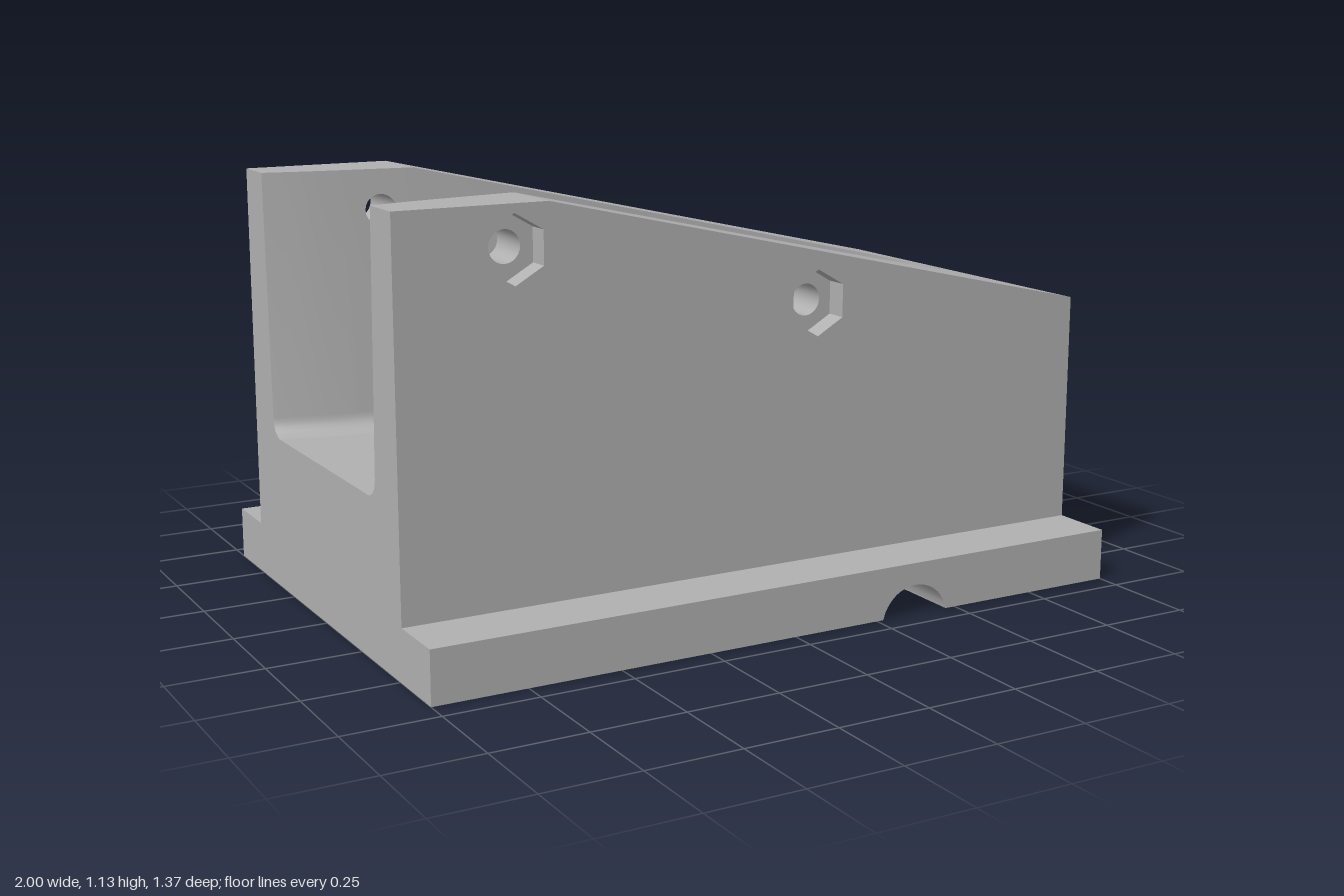
import * as THREE from 'three';
import { toCreasedNormals } from 'three/addons/utils/BufferGeometryUtils.js';

const BODY_Z = 0.515, BASE_Z = 0.685, BASE_Y = 0.14;
const FILLET = 0.05, TAPER = 0.02, POCKET_Z = 0.455;
const HOLES = [{ x: -0.69, y: 1.02, from: -0.76, to: -0.62 }, { x: 0.165, y: 0.82, from: 0.11, to: 0.22 }];

const topY = x => (x < -0.6 ? 1.13 : 1.13 - (x + 0.6) * 0.228);
const floorY = x => (x < 0.22 ? 0.42 : x < 0.55 ? 0.42 - (x - 0.22) * 0.1 : 0.387 - (x - 0.55) * 0.2);

// Half plan outline of the cavity, from the open end to the rounded tip
const HALF = [[-1, 0.39], [-0.88, 0.363], [-0.76, 0.344], [-0.62, 0.324], [-0.6, 0.322], [-0.4, 0.301], [-0.2, 0.286],
  [0, 0.272], [0.11, 0.265], [0.22, 0.254], [0.4, 0.235], [0.55, 0.21], [0.68, 0.179], [0.79, 0.137], [0.87, 0.085], [0.906, 0.04], [0.918, 0]];

function cavityOutline() {
  const mirrored = HALF.slice(0, -1).reverse().map(([x, z]) => [x, -z]);
  const pts = [...HALF, ...mirrored].map(([x, z]) => new THREE.Vector3(x, 0, z));
  const segs = HALF.length - 1;
  return new THREE.CatmullRomCurve3(pts).getPoints(segs * 8).slice(0, segs * 4 + 1)
    .filter(p => !HOLES.some(h => p.x > h.from + 1e-4 && p.x < h.to - 1e-4));
}

// Triangle collectors
function tri(out, a, b, c, flip) {
  for (const p of flip ? [a, c, b] : [a, b, c]) out.push(p[0], p[1], p[2]);
}
function quad(out, a, b, c, d, flip) {
  tri(out, a, b, c, flip);
  tri(out, a, c, d, flip);
}
function pushShape(out, shape, map, flip) {
  const p = new THREE.ShapeGeometry(shape, 1).toNonIndexed().attributes.position;
  const at = i => map(p.getX(i), p.getY(i));
  for (let i = 0; i < p.count; i += 3) tri(out, at(i), at(i + 1), at(i + 2), flip);
}
function toGeometry(out, crease) {
  const g = new THREE.BufferGeometry();
  g.setAttribute('position', new THREE.Float32BufferAttribute(out, 3));
  g.computeVertexNormals();
  return crease ? toCreasedNormals(g, crease) : g;
}

// Circle or hexagon around a bolt axis
const ring = (h, r, n) => Array.from({ length: n }, (_, k) => {
  const a = Math.PI / 2 + (k / n) * Math.PI * 2;
  return new THREE.Vector2(h.x + r * Math.cos(a), h.y + r * Math.sin(a));
});
const bore = h => ring(h, 0.042, 24);
const hexagon = h => ring(h, 0.087, 6);

// Inward facing sleeve running along z from the outside to an inner depth
function sleeve(out, pts, outerZ, innerZ, side) {
  pts.forEach((p, k) => {
    const q = pts[(k + 1) % pts.length];
    quad(out, [p.x, p.y, side * outerZ], [q.x, q.y, side * outerZ],
      [q.x, q.y, side * innerZ(q.x, q.y)], [p.x, p.y, side * innerZ(p.x, p.y)], side < 0);
  });
}

export function createModel() {
  const group = new THREE.Group();
  const grey = new THREE.MeshStandardMaterial({ color: 0xb0b0b0, side: THREE.DoubleSide });
  grey.name = 'plain grey';
  const add = (name, geometry) => {
    const mesh = new THREE.Mesh(geometry, grey);
    mesh.name = name;
    group.add(mesh);
    return mesh;
  };

  // Base plate with a round groove underneath
  const base = new THREE.Shape();
  base.moveTo(-1, 0);
  base.lineTo(0.27, 0);
  const half = Math.asin(0.2 / 0.205);
  base.absarc(0.37, -0.022, 0.1025, Math.PI / 2 + half, Math.PI / 2 - half, true);
  base.lineTo(1, 0);
  base.lineTo(1, BASE_Y);
  base.lineTo(-1, BASE_Y);
  const baseGeo = new THREE.ExtrudeGeometry(base, { depth: 2 * BASE_Z, bevelEnabled: false, curveSegments: 24 });
  baseGeo.translate(0, 0, -BASE_Z);
  add('basePlate', toCreasedNormals(baseGeo, Math.PI / 6));

  // Cavity cross-section at each outline point, from rim to floor
  const outline = cavityOutline();
  const last = outline.length - 1;
  const columns = outline.map((p, i) => {
    const a = outline[Math.max(i - 1, 0)], b = outline[Math.min(i + 1, last)];
    const len = Math.hypot(b.x - a.x, b.z - a.z);
    let nx = -(b.z - a.z) / len, nz = (b.x - a.x) / len;
    if (i === 0) { nx = 0; nz = 1; }
    if (i === last) { nx = 1; nz = 0; }
    const col = [[p.x, topY(p.x), p.z]];
    for (let k = 0; k <= 6; k++) {
      const t = (k / 6) * Math.PI / 2;
      const inset = TAPER + FILLET * (1 - Math.cos(t));
      const x = p.x - inset * nx;
      col.push([x, floorY(x) + FILLET * (1 - Math.sin(t)), Math.max(0, p.z - inset * nz)]);
    }
    return col;
  });
  const wallZ = (x, y) => {
    const i = Math.max(0, Math.min(last - 1, outline.findIndex(p => p.x > x) - 1));
    const a = outline[i], b = outline[i + 1];
    const w = a.z + (b.z - a.z) * (x - a.x) / (b.x - a.x);
    const bottom = floorY(x) + FILLET;
    return w - TAPER * (topY(x) - y) / (topY(x) - bottom);
  };

  // Cavity walls, floor, top rim and bolt bores
  const walls = [], floor = [], rim = [], bores = [];
  for (const side of [1, -1]) {
    const m = p => [p[0], p[1], p[2] * side];
    for (let i = 0; i < last; i++) {
      const A = columns[i], B = columns[i + 1];
      const hole = HOLES.find(h => h.x > outline[i].x && h.x < outline[i + 1].x);
      for (let k = 0; k < A.length - 1; k++) {
        if (k === 0 && hole) {
          const panel = new THREE.Shape([A[1], B[1], B[0], A[0]].map(p => new THREE.Vector2(p[0], p[1])));
          panel.holes.push(new THREE.Path(bore(hole)));
          pushShape(walls, panel, (x, y) => [x, y, side * wallZ(x, y)], side > 0);
        } else {
          quad(walls, m(A[k]), m(B[k]), m(B[k + 1]), m(A[k + 1]), side < 0);
        }
      }
      const fa = A[A.length - 1], fb = B[B.length - 1];
      quad(floor, [fa[0], fa[1], 0], m(fa), m(fb), [fb[0], fb[1], 0], side < 0);
      quad(rim, m(A[0]), m([A[0][0], A[0][1], BODY_Z]), m([B[0][0], B[0][1], BODY_Z]), m(B[0]), side < 0);
    }
    for (const h of HOLES) sleeve(bores, bore(h), side > 0 ? POCKET_Z : BODY_Z, wallZ, side);
  }
  const tip = outline[last].x;
  quad(rim, [tip, topY(tip), -BODY_Z], [tip, topY(tip), BODY_Z], [1, topY(1), BODY_Z], [1, topY(1), -BODY_Z]);
  add('cavityWalls', toGeometry(walls, Math.PI / 5));
  add('cavityFloor', toGeometry(floor));
  add('topRim', toGeometry(rim));

  // Outer sides: hexagonal nut pockets in front, plain bolt holes behind
  const sides = [];
  for (const side of [1, -1]) {
    const face = new THREE.Shape([[-1, BASE_Y], [1, BASE_Y], [1, topY(1)], [-0.6, 1.13], [-1, 1.13]].map(p => new THREE.Vector2(...p)));
    for (const h of HOLES) face.holes.push(new THREE.Path(side > 0 ? hexagon(h) : bore(h)));
    pushShape(sides, face, (x, y) => [x, y, side * BODY_Z], side < 0);
  }
  quad(sides, [1, BASE_Y, BODY_Z], [1, BASE_Y, -BODY_Z], [1, topY(1), -BODY_Z], [1, topY(1), BODY_Z]);
  add('bodySides', toGeometry(sides));

  const pockets = [];
  for (const h of HOLES) {
    sleeve(pockets, hexagon(h), BODY_Z, () => POCKET_Z, 1);
    const seat = new THREE.Shape(hexagon(h));
    seat.holes.push(new THREE.Path(bore(h)));
    pushShape(pockets, seat, (x, y) => [x, y, POCKET_Z]);
  }
  add('nutPockets', toGeometry(pockets));
  add('boltBores', toGeometry(bores, Math.PI / 6));

  // Open end with the U-shaped mouth
  const mouth = columns[0].map(p => new THREE.Vector2(p[2], p[1]));
  const endShape = new THREE.Shape([
    new THREE.Vector2(-BODY_Z, BASE_Y), new THREE.Vector2(BODY_Z, BASE_Y), new THREE.Vector2(BODY_Z, 1.13),
    ...mouth, ...mouth.slice().reverse().map(p => new THREE.Vector2(-p.x, p.y)), new THREE.Vector2(-BODY_Z, 1.13)]);
  const end = [];
  pushShape(end, endShape, (z, y) => [-1, y, z]);
  add('openEnd', toGeometry(end));

  // Small tapered pins along the cavity floor
  for (const x of [-0.76, -0.42, -0.075, 0.135, 0.39]) {
    const pin = add('floorPin', new THREE.CylinderGeometry(0.01, 0.022, 0.2, 10));
    pin.position.set(x, floorY(x) + 0.095, 0);
    pin.rotation.z = -0.08;
  }
  return group;
}
